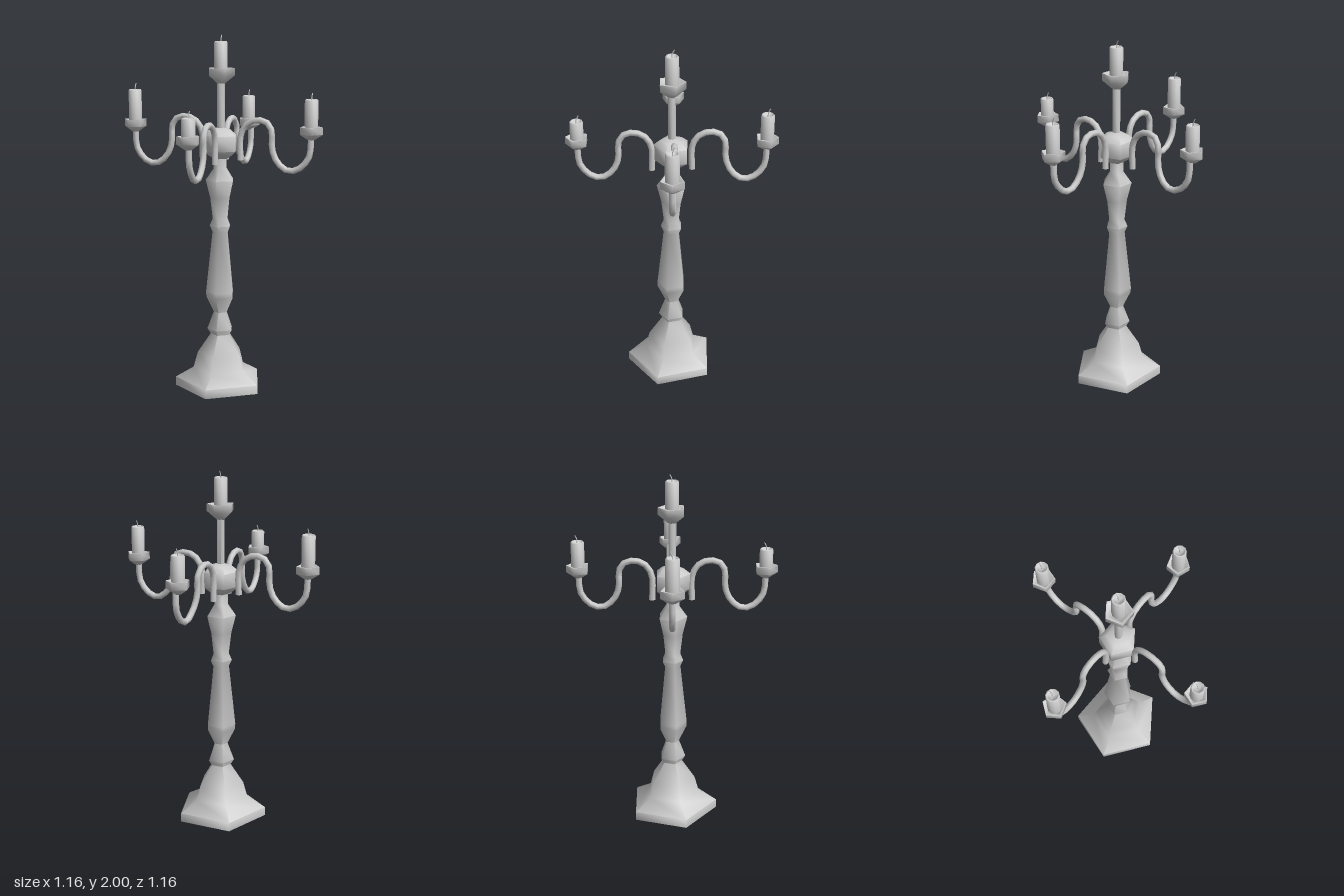
import * as THREE from 'three';
import { toCreasedNormals } from 'three/addons/utils/BufferGeometryUtils.js';

const material = new THREE.MeshStandardMaterial({ color: 0xcccccc, side: THREE.DoubleSide });

function mesh(name, geometry) {
  const m = new THREE.Mesh(geometry, material);
  m.name = name;
  return m;
}

// Turned part from [radius, height] pairs; the first corner points to +z
function turned(name, profile, sides) {
  const points = profile.map(([r, y]) => new THREE.Vector2(r, y));
  return mesh(name, toCreasedNormals(new THREE.LatheGeometry(points, sides), 1.35));
}

// Candle with a hollowed top and a bent wick, standing on y = 0
function candle(height) {
  const g = new THREE.Group();
  g.name = 'candle';
  const r = 0.037;
  g.add(turned('wax', [
    [0, 0], [r, 0], [r, height - 0.006], [r - 0.005, height],
    [r - 0.011, height - 0.003], [r - 0.015, height - 0.014], [0, height - 0.016],
  ], 10));
  const path = new THREE.CatmullRomCurve3([
    new THREE.Vector3(0, height - 0.02, 0),
    new THREE.Vector3(0, height + 0.012, -0.002),
    new THREE.Vector3(0.001, height + 0.033, -0.013),
  ]);
  g.add(mesh('wick', new THREE.TubeGeometry(path, 4, 0.003, 5)));
  return g;
}

// Five-sided drip cup; y = 0 is the rim
function cup(radius, depth) {
  return turned('cup', [
    [0, -depth], [radius * 0.3, -depth], [radius, -0.04], [radius, 0],
    [radius * 0.82, 0], [radius * 0.68, -0.02], [0, -0.02],
  ], 5);
}

// Swan-neck arm reaching along +x
const armPath = [
  [0.11, 1.315], [0.11, 1.45], [0.135, 1.505], [0.175, 1.533], [0.22, 1.54], [0.265, 1.525],
  [0.293, 1.475], [0.29, 1.42], [0.305, 1.345], [0.345, 1.29], [0.395, 1.265], [0.455, 1.285],
  [0.505, 1.35], [0.513, 1.42], [0.513, 1.475],
];

function arm({ name, angle, lift, candleHeight, inner, outer, cupZ }) {
  const g = new THREE.Group();
  g.name = name;
  const points = armPath.map(([x, y]) => {
    const t = THREE.MathUtils.smoothstep(x, 0.27, 0.33);
    return new THREE.Vector3(x, y + lift, THREE.MathUtils.lerp(inner, outer, t));
  });
  const path = new THREE.CatmullRomCurve3(points);
  g.add(mesh('armTube', new THREE.TubeGeometry(path, 22, 0.0175, 7)));

  // Closed lower end of the tube
  const cap = mesh('armEnd', new THREE.CircleGeometry(0.0175, 7));
  cap.rotation.x = Math.PI / 2;
  cap.position.copy(points[0]);
  g.add(cap);

  const holder = new THREE.Group();
  holder.name = 'candleHolder';
  holder.position.set(0.515, 1.512 + lift, cupZ);
  const dish = cup(0.065, 0.07);
  dish.rotation.y = Math.PI / 2;
  const wax = candle(candleHeight + 0.02);
  wax.position.y = -0.02;
  wax.rotation.y = -angle;
  holder.add(dish, wax);
  g.add(holder);
  g.rotation.y = angle;
  return g;
}

export function createModel() {
  const model = new THREE.Group();
  model.name = 'candelabrum';

  // Foot and baluster column
  model.add(turned('column', [
    [0, 0], [0.26, 0], [0.26, 0.05], [0.157, 0.11], [0.132, 0.2], [0.058, 0.31],
    [0.077, 0.34], [0.04, 0.44], [0.083, 0.53], [0.084, 0.56], [0.047, 0.905],
    [0.063, 0.94], [0.046, 0.98], [0.06, 1.1], [0.085, 1.2], [0.04, 1.265], [0.04, 1.36],
  ], 5));

  // Hub that the arms gather around
  model.add(turned('hub', [
    [0.03, 1.315], [0.065, 1.335], [0.103, 1.365], [0.103, 1.45], [0.065, 1.48], [0, 1.5],
  ], 5));

  // Central stem with its cup and candle
  model.add(turned('stem', [[0.022, 1.46], [0.022, 1.77]], 7));
  const topCup = cup(0.078, 0.085);
  topCup.position.y = 1.822;
  topCup.rotation.y = Math.PI;
  const topCandle = candle(0.168);
  topCandle.position.y = 1.8;
  model.add(topCup, topCandle);

  // Four arms
  const half = Math.PI / 2;
  [
    { name: 'leftArm', angle: 0, lift: 0, candleHeight: 0.15, inner: -0.015, outer: -0.01, cupZ: -0.01 },
    { name: 'backArm', angle: half, lift: -0.012, candleHeight: 0.135, inner: -0.008, outer: 0.012, cupZ: -0.004 },
    { name: 'rightArm', angle: Math.PI, lift: 0.012, candleHeight: 0.17, inner: 0, outer: 0, cupZ: 0 },
    { name: 'frontArm', angle: -half, lift: -0.015, candleHeight: 0.095, inner: -0.004, outer: -0.004, cupZ: -0.004 },
  ].forEach((spec) => model.add(arm(spec)));

  return model;
}
